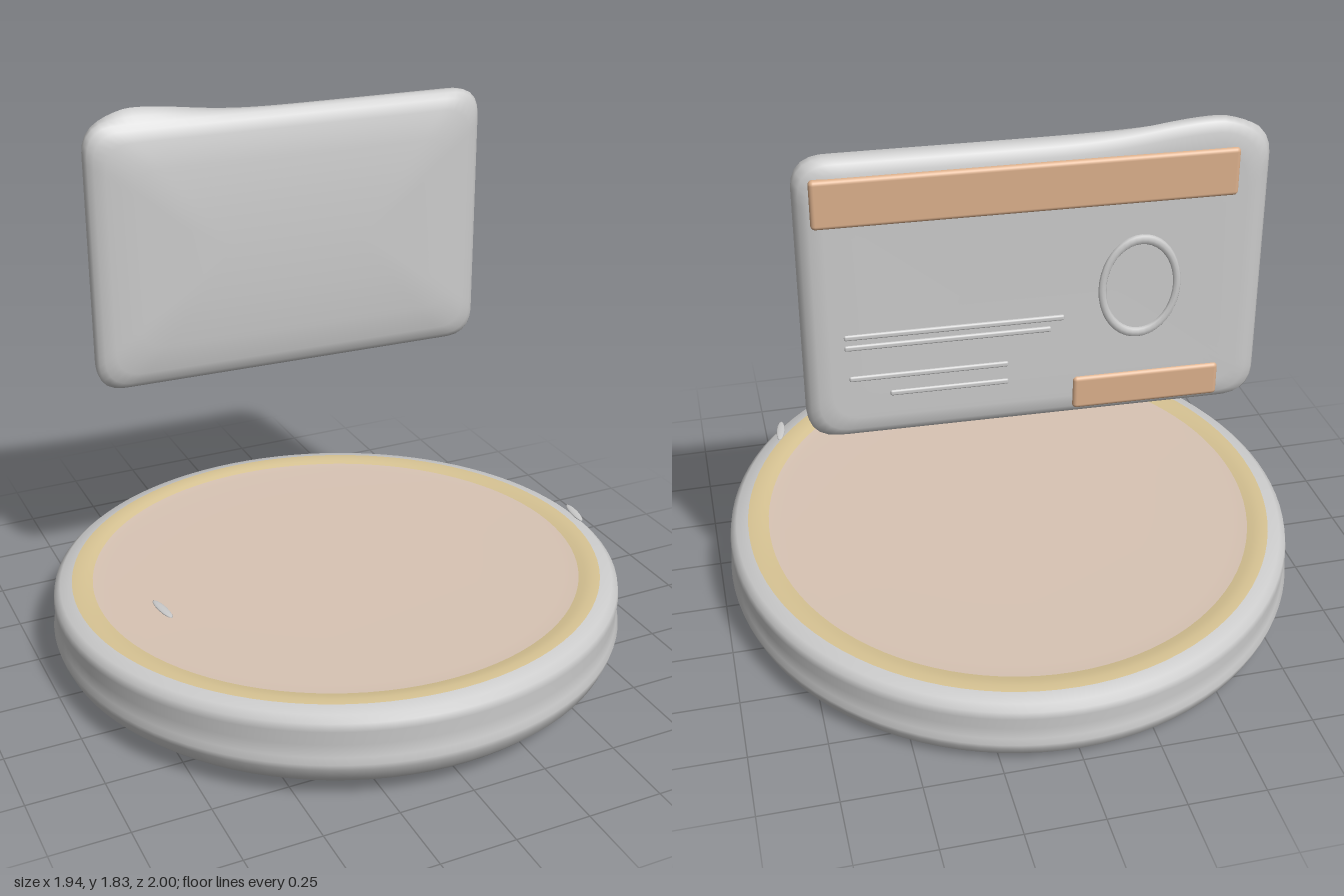
import * as THREE from 'three';
import { mergeVertices } from 'three/addons/utils/BufferGeometryUtils.js';
import { RoundedBoxGeometry } from 'three/addons/geometries/RoundedBoxGeometry.js';
import { ParametricGeometry } from 'three/addons/geometries/ParametricGeometry.js';

const paint = (color) => new THREE.MeshStandardMaterial({ color });
const grey = paint(0xcccccc);
const pink = paint(0xd8c4b4);
const yellow = paint(0xd8c494);
const orange = paint(0xdcb08c);

function add(parent, name, geometry, material, x = 0, y = 0, z = 0) {
  const mesh = new THREE.Mesh(geometry, material);
  mesh.name = name;
  mesh.position.set(x, y, z);
  parent.add(mesh);
  return mesh;
}

// Lathed part of the disc, slightly oval and tilted up toward the front
function discPart(profile) {
  const g = new THREE.LatheGeometry(profile.map(([r, y]) => new THREE.Vector2(r, y)), 96);
  const p = g.attributes.position;
  for (let i = 0; i < p.count; i++) {
    const y = p.getY(i), z = p.getZ(i) * 1.03;
    p.setXYZ(i, p.getX(i), y + z * (0.03 + 0.08 * y), z);
  }
  return g;
}

// Pillow-like card: rounded outline swept through an edge profile of [inset, z]
function cardBody() {
  const W = 0.7, H = 0.455, R = 0.1, N = 160;
  const s = new THREE.Shape();
  s.moveTo(W, 0);
  s.lineTo(W, H - R).quadraticCurveTo(W, H, W - R, H);
  s.lineTo(R - W, H).quadraticCurveTo(-W, H, -W, H - R);
  s.lineTo(-W, R - H).quadraticCurveTo(-W, -H, R - W, -H);
  s.lineTo(W - R, -H).quadraticCurveTo(W, -H, W, R - H);
  s.lineTo(W, 0);
  const outline = s.getSpacedPoints(N);
  const profile = [
    [0.455, -0.052], [0.2, -0.054], [0.08, -0.056], [0.04, -0.052], [0.015, -0.037], [0.002, -0.015],
    [0, 0.01], [0.008, 0.025], [0.025, 0.04], [0.06, 0.054], [0.15, 0.068], [0.3, 0.077], [0.455, 0.08],
  ];
  const rows = profile.length - 1;
  let g = new ParametricGeometry((u, v, out) => {
    const pt = outline[Math.round(u * N)];
    const [inset, z] = profile[Math.min(rows, Math.round(v * rows))];
    const x = pt.x * (W - inset) / W;
    let y = pt.y * (H - inset) / H;
    // Bump at the upper corner, on the rear half of the edge
    const d = x + 0.53;
    const bell = Math.exp(-((d / (d < 0 ? 0.1 : 0.25)) ** 2));
    y += 0.04 * bell * THREE.MathUtils.smoothstep(y, 0.3, 0.44) * (1 - THREE.MathUtils.smoothstep(z, -0.02, 0.03));
    out.set(x, y, z);
  }, N, rows);
  g.deleteAttribute('uv');
  g.deleteAttribute('normal');
  g = mergeVertices(g, 1e-5);
  g.computeVertexNormals();
  return g;
}

export function createModel() {
  const model = new THREE.Group();
  model.name = 'cardAboveDisc';

  // Disc: body with banded side, rim ring and shallow inlay
  const disc = new THREE.Group();
  disc.name = 'disc';
  model.add(disc);
  add(disc, 'discBody', discPart([
    [0, 0.03], [0.5, 0.03], [0.88, 0.03], [0.92, 0.036], [0.95, 0.065], [0.965, 0.1], [0.97, 0.12],
    [0.962, 0.14], [0.958, 0.18], [0.964, 0.225], [0.96, 0.25], [0.94, 0.268], [0.9, 0.277],
  ]), grey);
  add(disc, 'discRim', discPart([[0.9, 0.277], [0.875, 0.279], [0.85, 0.275], [0.83, 0.27]]), yellow);
  add(disc, 'discInlay', discPart([[0.83, 0.27], [0.78, 0.267], [0.5, 0.266], [0, 0.266]]), pink);

  // Floating card, turned slightly about the vertical
  const card = new THREE.Group();
  card.name = 'card';
  card.position.set(0.01, 1.338, -0.385);
  card.rotation.y = -0.035;
  model.add(card);
  add(card, 'cardBody', cardBody(), grey);

  // Rear details: stripe, patch, printed lines and oval frame
  const slab = (w, h, d) => new RoundedBoxGeometry(w, h, d, 3, Math.min(h, d) * 0.45);
  add(card, 'rearStripe', slab(1.25, 0.15, 0.03), orange, 0.03, 0.33, -0.052);
  add(card, 'rearPatch', slab(0.46, 0.11, 0.03), orange, -0.34, -0.365, -0.05);
  for (const [w, x, y] of [[0.66, 0.25, -0.1], [0.62, 0.27, -0.135], [0.48, 0.33, -0.24], [0.36, 0.27, -0.3]])
    add(card, 'rearLine', slab(w, 0.018, 0.014), grey, x, y, -0.053);
  const frame = add(card, 'rearOval', new THREE.TorusGeometry(0.115, 0.012, 8, 40), grey, -0.31, -0.02, -0.053);
  frame.scale.set(1, 1.35, 0.7);

  // Small slivers floating over the disc
  for (const side of [-1, 1]) {
    const sliver = add(model, 'sliver', new THREE.SphereGeometry(1, 12, 8), grey, side * 0.742, 0.466, 0.348);
    sliver.scale.set(0.014, 0.005, 0.062);
    sliver.rotation.y = -side * 0.15;
  }
  return model;
}
